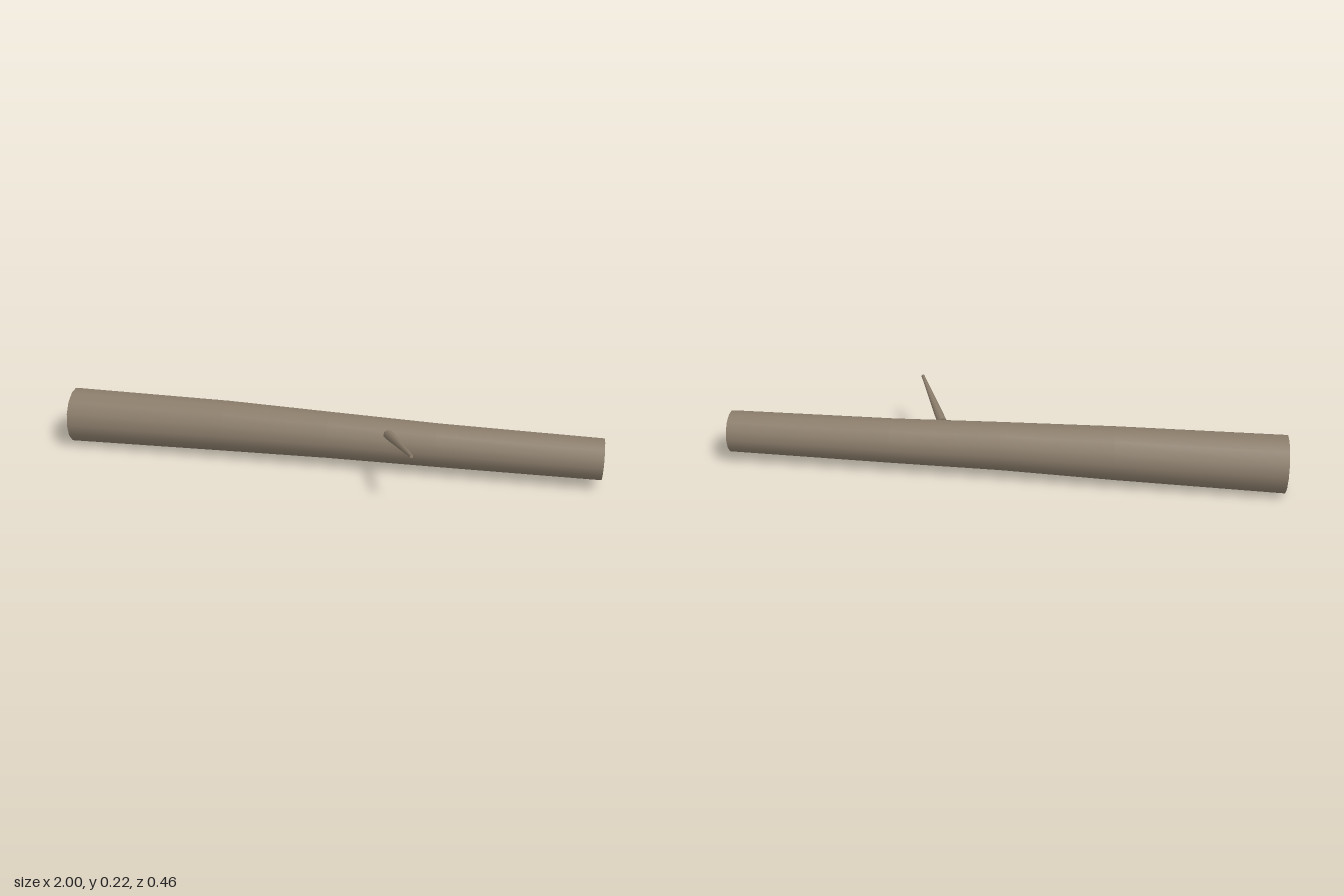
import * as THREE from 'three';

const SIDES = 14;

// Trunk rings along x: [x, centre y, centre z, radius]
const RINGS = [
  [-1, 0.101, -0.124, 0.104],
  [-0.4, 0.106, -0.114, 0.097],
  [0, 0.106, -0.103, 0.088],
  [0.4, 0.102, -0.095, 0.082],
  [1, 0.103, -0.082, 0.077],
];

// Smooth tapered tube through the rings, with flat end caps
function trunkGeometry() {
  const geo = new THREE.CylinderGeometry(1, 1, 1, SIDES, RINGS.length - 1);
  const p = geo.attributes.position;
  for (let i = 0; i < p.count; i++) {
    const ring = Math.round((p.getY(i) + 0.5) * (RINGS.length - 1));
    const [x, y, z, r] = RINGS[ring];
    p.setXYZ(i, x, y - p.getX(i) * r, z + p.getZ(i) * r);
  }
  // Turn the side normals with the axis; the taper is too slight to matter
  const n = geo.attributes.normal;
  for (let i = 0; i < n.count; i++) n.setXYZ(i, n.getY(i), -n.getX(i), n.getZ(i));
  return geo;
}

export function createModel() {
  const group = new THREE.Group();
  const bark = new THREE.MeshStandardMaterial({ color: 0x8b7d6b });

  const trunk = new THREE.Mesh(trunkGeometry(), bark);
  trunk.name = 'trunk';
  group.add(trunk);

  // Thin broken branch sticking out of the front
  const base = new THREE.Vector3(0.225, 0.158, -0.04);
  const tip = new THREE.Vector3(0.338, 0.216, 0.226);
  const dir = tip.clone().sub(base);
  const branch = new THREE.Mesh(new THREE.CylinderGeometry(0.006, 0.018, dir.length(), 7), bark);
  branch.position.copy(base).add(tip).multiplyScalar(0.5);
  branch.quaternion.setFromUnitVectors(new THREE.Vector3(0, 1, 0), dir.normalize());
  branch.name = 'branch';
  group.add(branch);

  return group;
}
